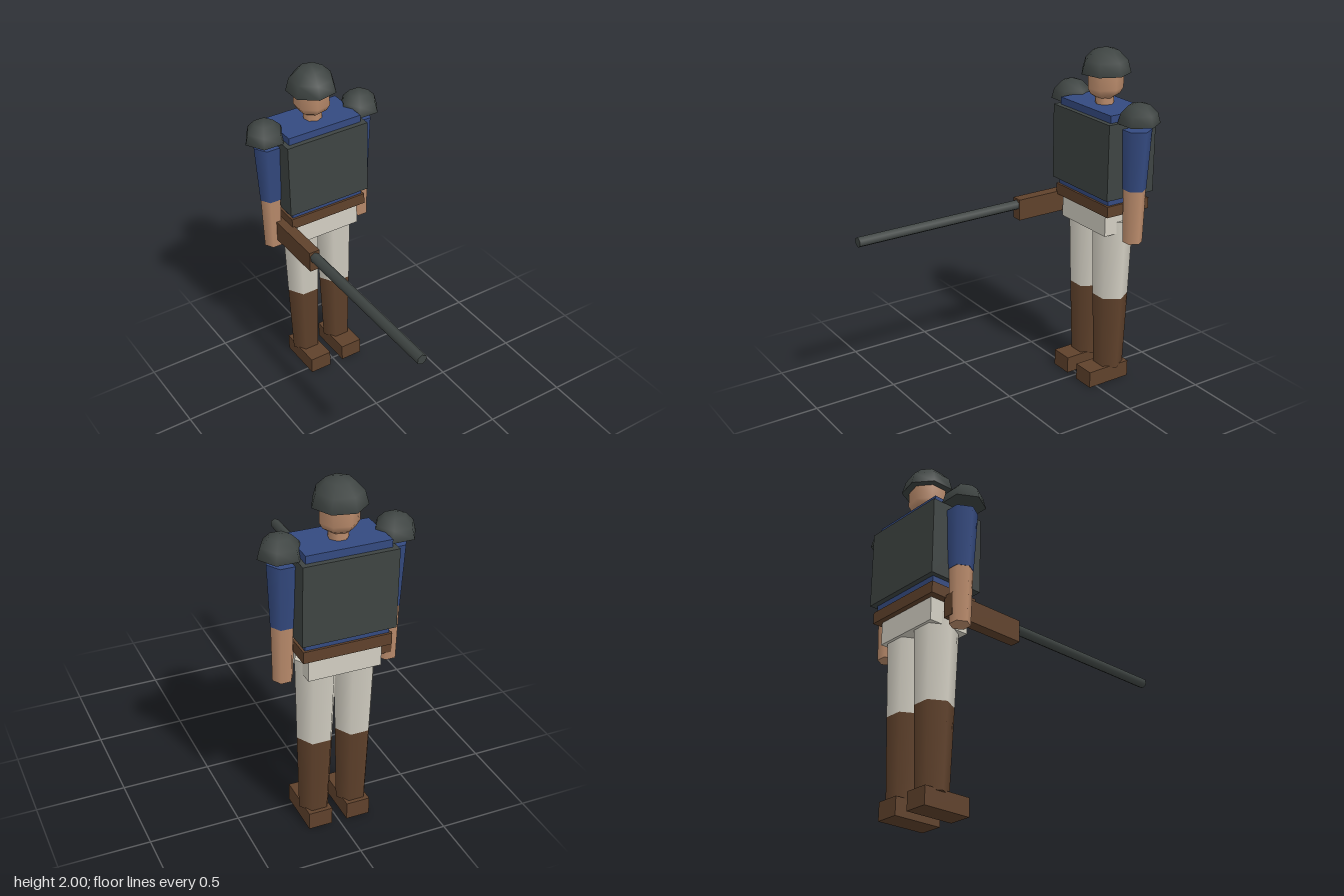
import * as THREE from 'three';

const mat = (name, color) => {
  const m = new THREE.MeshStandardMaterial({ color });
  m.name = name;
  return m;
};

export function createModel() {
  const steel = mat('dark steel', 0x3e4442);
  const blue = mat('blue cloth', 0x344a80);
  const brown = mat('brown leather', 0x5f412b);
  const cream = mat('cream cloth', 0xd2cec2);
  const skin = mat('skin', 0xbb8c6c);

  const model = new THREE.Group();
  model.name = 'soldier';
  const body = new THREE.Group();
  body.name = 'body';
  body.position.z = -0.637;
  model.add(body);

  const add = (parent, name, geometry, material, x = 0, y = 0, z = 0) => {
    const mesh = new THREE.Mesh(geometry, material);
    mesh.name = name;
    mesh.position.set(x, y, z);
    parent.add(mesh);
    return mesh;
  };

  // Box between two heights
  const block = (name, material, w, y0, y1, d, x = 0, z = 0) =>
    add(body, name, new THREE.BoxGeometry(w, y1 - y0, d), material, x, (y0 + y1) / 2, z);

  // Six-sided tapered limb with corners pointing sideways
  const limb = (name, material, x, y0, y1, r0, r1) =>
    add(body, name, new THREE.CylinderGeometry(r1, r0, y1 - y0, 6, 1, false, Math.PI / 6),
      material, x, (y0 + y1) / 2);

  // Half-sphere closed underneath
  const dome = (name, x, y, r, sides) => {
    const group = new THREE.Group();
    group.name = name;
    group.position.set(x, y, 0);
    body.add(group);
    add(group, name + 'Shell',
      new THREE.SphereGeometry(r, sides, 3, Math.PI, Math.PI * 2, 0, Math.PI / 2), steel);
    add(group, name + 'Underside', new THREE.CircleGeometry(r, sides).rotateX(Math.PI / 2), steel);
  };

  // Torso
  block('torso', blue, 0.46, 1.14, 1.68, 0.266);
  block('bodyArmour', steel, 0.514, 1.2, 1.638, 0.325);
  block('belt', brown, 0.486, 1.095, 1.16, 0.292);
  block('hips', cream, 0.404, 0.965, 1.095, 0.244, 0, 0.005);

  // Head
  add(body, 'neck', new THREE.CylinderGeometry(0.054, 0.054, 0.12, 7), skin, 0, 1.72);
  const jaw = [[0, 1.705], [0.045, 1.712], [0.085, 1.738], [0.104, 1.772], [0.104, 1.87]];
  add(body, 'head', new THREE.LatheGeometry(
    jaw.map(([r, y]) => new THREE.Vector2(r, y)), 7, Math.PI / 2), skin);
  dome('helmet', 0, 1.855, 0.144, 7);

  // Arms and legs
  for (const [side, s] of [['left', 1], ['right', -1]]) {
    dome(side + 'ShoulderGuard', s * 0.307, 1.638, 0.118, 6);
    limb(side + 'Sleeve', blue, s * 0.293, 1.255, 1.602, 0.066, 0.085);
    limb(side + 'Forearm', skin, s * 0.293, 0.94, 1.255, 0.056, 0.064);
    limb(side + 'Thigh', cream, s * 0.11, 0.55, 1.035, 0.103, 0.118);
    limb(side + 'Boot', brown, s * 0.11, 0.09, 0.55, 0.087, 0.103);
    block(side + 'Foot', brown, 0.134, 0, 0.1, 0.282, s * 0.111, 0.043);
  }

  // Rifle held at the right hip
  add(model, 'rifleStock', new THREE.BoxGeometry(0.064, 0.125, 0.468), brown, -0.261, 1.048, -0.456);
  add(model, 'rifleBarrel', new THREE.CylinderGeometry(0.03, 0.03, 1.04, 6).rotateX(Math.PI / 2),
    steel, -0.261, 1.073, 0.28);

  return model;
}
